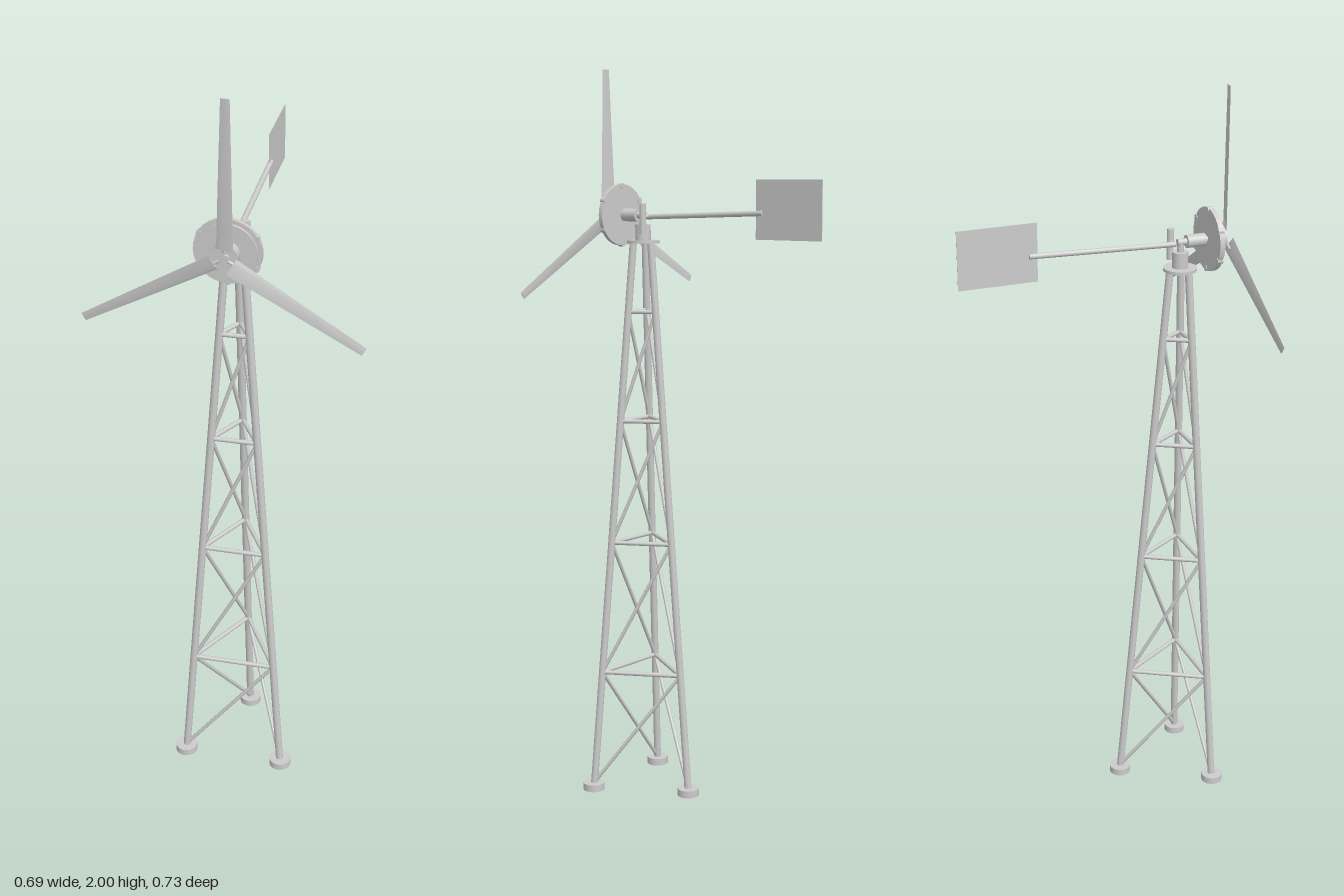
import * as THREE from 'three';
import { toCreasedNormals } from 'three/addons/utils/BufferGeometryUtils.js';

const metal = new THREE.MeshStandardMaterial({ color: 0xcccccc, side: THREE.DoubleSide });
const V = (x, y, z) => new THREE.Vector3(x, y, z);
const CX = 0.004, CZ = 0.229, HUB_Y = 1.61, TOP = 1.536;

function add(parent, name, geometry) {
  const mesh = new THREE.Mesh(geometry, metal);
  mesh.name = name;
  parent.add(mesh);
  return mesh;
}

// Round bar between two points
function bar(parent, name, a, b, r, sides = 14) {
  const d = b.clone().sub(a);
  const mesh = add(parent, name, new THREE.CylinderGeometry(r, r, d.length(), sides));
  mesh.position.copy(a).add(b).multiplyScalar(0.5);
  mesh.quaternion.setFromUnitVectors(V(0, 1, 0), d.normalize());
  return mesh;
}

// Bar along z on the rotor axis
const axial = (parent, name, z0, z1, r, sides = 32) =>
  bar(parent, name, V(CX, HUB_Y, z0), V(CX, HUB_Y, z1), r, sides);

// Point on the axis of tower leg i at height y (0 is the rear leg)
function legPoint(i, y) {
  const r = THREE.MathUtils.lerp(0.157, 0.028, y / TOP);
  const a = -Math.PI / 2 + i * Math.PI * 2 / 3;
  return V(CX + r * Math.cos(a), y, CZ + r * Math.sin(a));
}

function buildTower() {
  const tower = new THREE.Group();
  tower.name = 'tower';
  const levels = [0.02, 0.34, 0.71, 1.05, 1.35];
  for (let i = 0; i < 3; i++) {
    const j = (i + 1) % 3;
    const foot = legPoint(i, 0);
    bar(tower, 'foot', foot, foot.clone().setY(0.02), 0.03, 24);
    bar(tower, 'leg', legPoint(i, 0.01), legPoint(i, TOP), 0.01);
    // Ring bars, and one diagonal per panel, winding round the tower
    for (let k = 1; k < levels.length; k++) {
      bar(tower, 'ringBar', legPoint(i, levels[k]), legPoint(j, levels[k]), 0.006);
      bar(tower, 'brace', legPoint(j, levels[k - 1]), legPoint(i, levels[k]), 0.005);
    }
  }
  bar(tower, 'topPlate', V(CX, 1.535, CZ), V(CX, 1.543, CZ), 0.044, 32);
  return tower;
}

// Tapered, twisted blade pointing up, lofted from four-point sections
function bladeGeometry() {
  const pos = [], index = [], n = 8;
  for (let i = 0; i <= n; i++) {
    const t = i / n, y = 0.025 + 0.367 * t;
    const half = THREE.MathUtils.lerp(0.022, 0.011, t);
    const thick = THREE.MathUtils.lerp(0.003, 0.0015, t);
    const pitch = THREE.MathUtils.lerp(0.26, 0.1, t), c = Math.cos(pitch), s = Math.sin(pitch);
    for (const [u, w] of [[-half, 0], [-half * 0.4, -thick], [half, 0], [-half * 0.4, thick]])
      pos.push(u * c - w * s + 0.004, y, u * s + w * c);
    if (i < n) for (let k = 0; k < 4; k++) {
      const a = i * 4 + k, b = i * 4 + (k + 1) % 4;
      index.push(a, a + 4, b, b, a + 4, b + 4);
    }
  }
  const e = n * 4;
  index.push(0, 1, 2, 0, 2, 3, e, e + 2, e + 1, e, e + 3, e + 2);
  const g = new THREE.BufferGeometry();
  g.setAttribute('position', new THREE.Float32BufferAttribute(pos, 3));
  g.setIndex(index);
  return toCreasedNormals(g, 0.6);
}

function buildRotor() {
  const rotor = new THREE.Group();
  rotor.name = 'rotor';
  // Generator discs, rim studs and hub
  axial(rotor, 'generatorDisc', 0.303, 0.315, 0.083);
  axial(rotor, 'frontDisc', 0.315, 0.322, 0.073);
  for (let i = 0; i < 6; i++) {
    const a = (i + 0.5) * Math.PI / 3, x = CX + 0.078 * Math.cos(a), y = HUB_Y + 0.078 * Math.sin(a);
    bar(rotor, 'rimStud', V(x, y, 0.301), V(x, y, 0.317), 0.008);
  }
  axial(rotor, 'hub', 0.322, 0.347, 0.032);
  axial(rotor, 'hubCap', 0.347, 0.356, 0.012, 16);
  const geometry = bladeGeometry();
  for (let i = 0; i < 3; i++) {
    const blade = add(rotor, 'blade', geometry);
    blade.position.set(0.002, HUB_Y - 0.002, 0.355);
    blade.rotation.z = -0.012 + i * Math.PI * 2 / 3;
    // Root tongue joining blade and hub
    const a = Math.PI / 2 + blade.rotation.z;
    bar(rotor, 'bladeRoot', V(CX, HUB_Y, 0.351),
      V(CX + 0.045 * Math.cos(a), HUB_Y + 0.045 * Math.sin(a), 0.352), 0.004);
  }
  return rotor;
}

function buildHead() {
  const head = new THREE.Group();
  head.name = 'head';
  bar(head, 'yawPipe', V(CX, 1.54, CZ), V(CX, 1.585, CZ), 0.021, 24);
  bar(head, 'yawNeck', V(CX, 1.585, CZ), V(CX, 1.61, CZ), 0.009);
  axial(head, 'shaftHousing', 0.245, 0.296, 0.017, 24);
  axial(head, 'shaft', 0.22, 0.304, 0.009, 16);
  // Offset hinge post carrying the tail
  bar(head, 'hingePost', V(0.026, 1.56, 0.21), V(0.026, 1.642, 0.21), 0.009);
  bar(head, 'hingeArm', V(CX, 1.575, CZ), V(0.026, 1.575, 0.21), 0.006);
  bar(head, 'hingeLink', V(CX, 1.607, 0.207), V(0.026, 1.607, 0.21), 0.006);
  return head;
}

function buildTail() {
  const tail = new THREE.Group();
  tail.name = 'tail';
  bar(tail, 'tailBoom', V(CX, 1.606, 0.215), V(CX, 1.62, -0.182), 0.007);
  add(tail, 'tailVane', new THREE.BoxGeometry(0.0015, 0.152, 0.208)).position.set(CX, 1.629, -0.264);
  return tail;
}

export function createModel() {
  const model = new THREE.Group();
  model.name = 'windTurbine';
  model.add(buildTower(), buildHead(), buildRotor(), buildTail());
  return model;
}
